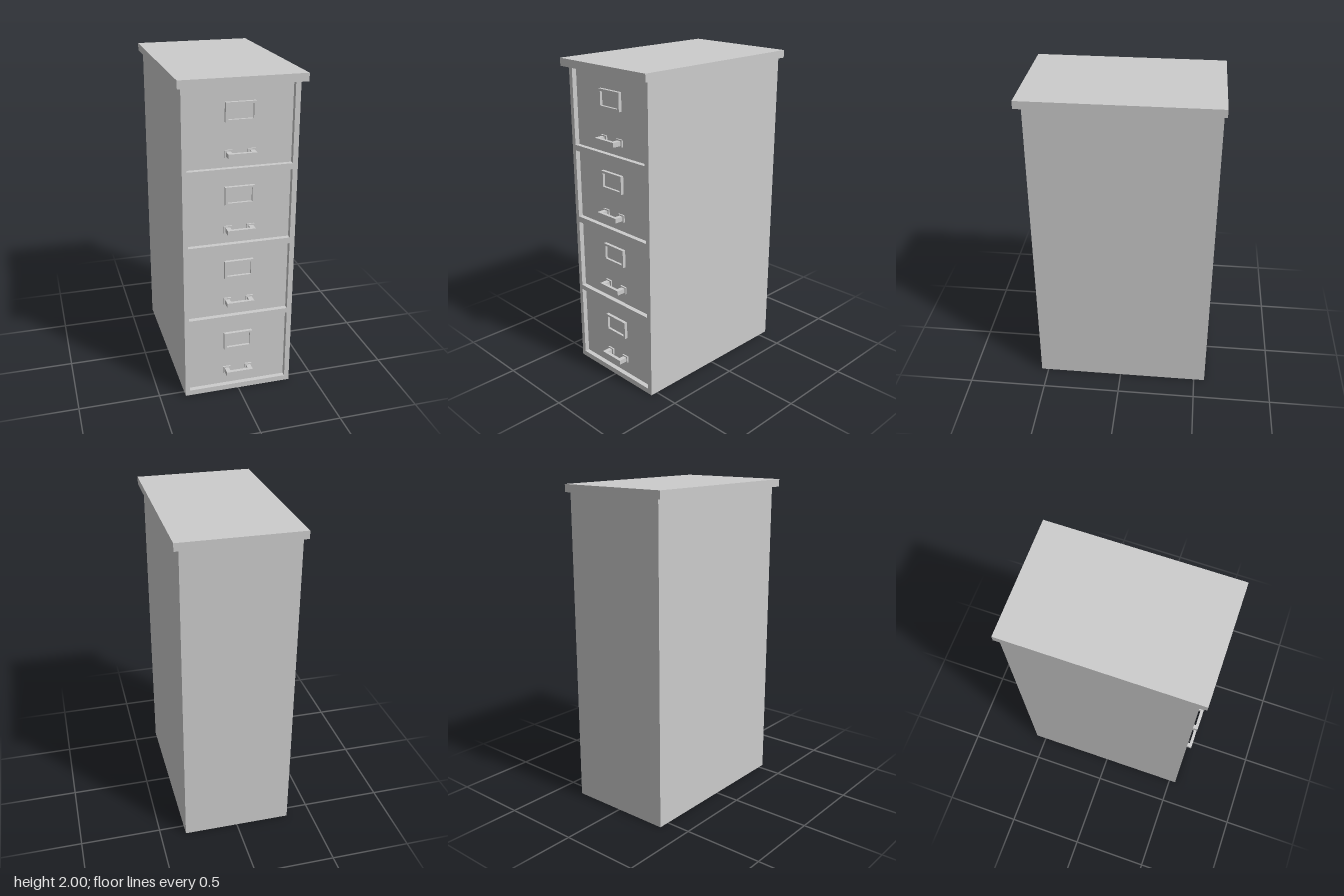
import * as THREE from 'three';

const material = new THREE.MeshStandardMaterial({ color: 0xcccccc, flatShading: true });
const FACE = 0.515;  // drawer front plane
const FRONT = 0.545; // cabinet front plane

// Box given by its min and max along each axis
function box(name, [x0, x1], [y0, y1], [z0, z1]) {
  const mesh = new THREE.Mesh(new THREE.BoxGeometry(x1 - x0, y1 - y0, z1 - z0), material);
  mesh.position.set((x0 + x1) / 2, (y0 + y1) / 2, (z0 + z1) / 2);
  mesh.name = name;
  return mesh;
}

function rectangle(target, x0, x1, y0, y1) {
  target.moveTo(x0, y0);
  target.lineTo(x1, y0);
  target.lineTo(x1, y1);
  target.lineTo(x0, y1);
  target.closePath();
  return target;
}

// Flat panel with rectangular openings, extruded from z0 to z1
function frame(name, outer, holes, z0, z1) {
  const shape = rectangle(new THREE.Shape(), ...outer);
  holes.forEach((h) => shape.holes.push(rectangle(new THREE.Path(), ...h)));
  const geometry = new THREE.ExtrudeGeometry(shape, { depth: z1 - z0, bevelEnabled: false });
  const mesh = new THREE.Mesh(geometry, material);
  mesh.position.z = z0;
  mesh.name = name;
  return mesh;
}

// Label holder: raised border around a sunken card
function createLabelHolder(y) {
  const group = new THREE.Group();
  group.name = 'labelHolder';
  group.add(
    frame('labelBorder', [-0.089, 0.089, -0.056, 0.056], [[-0.074, 0.074, -0.042, 0.042]], FACE, FACE + 0.02),
    box('labelCard', [-0.074, 0.074], [-0.042, 0.042], [FACE - 0.002, FACE + 0.004]),
  );
  group.position.y = y;
  return group;
}

// Pull handle: bar carried by a plate and post at each end
function createHandle(y) {
  const group = new THREE.Group();
  group.name = 'handle';
  group.add(box('handleBar', [-0.084, 0.084], [-0.014, 0.014], [0.558, 0.579]));
  for (const s of [-1, 1]) {
    const plate = box('handlePlate', [-0.024, 0.024], [-0.022, 0.022], [FACE, FACE + 0.01]);
    const post = box('handlePost', [-0.014, 0.014], [-0.014, 0.014], [FACE, 0.56]);
    plate.position.x = s * 0.069;
    post.position.x = s * 0.07;
    group.add(plate, post);
  }
  group.position.y = y;
  return group;
}

export function createModel() {
  const cabinet = new THREE.Group();
  cabinet.name = 'filingCabinet';

  const drawers = [
    { bottom: 0.034, top: 0.5, handle: 0.133, label: 0.344 },
    { bottom: 0.53, top: 0.973, handle: 0.622, label: 0.836 },
    { bottom: 1.01, top: 1.44, handle: 1.096, label: 1.305 },
    { bottom: 1.476, top: 1.952, handle: 1.557, label: 1.797 },
  ];

  // Carcass, front frame with drawer openings, and overhanging lid
  cabinet.add(
    box('carcass', [-0.342, 0.34], [0, 1.955], [-0.57, FACE]),
    frame('frontFrame', [-0.342, 0.34, 0, 1.955],
      drawers.map((d) => [-0.314, 0.309, d.bottom, d.top]), FACE, FRONT),
    box('lid', [-0.369, 0.369], [1.953, 2], [-0.586, 0.586]),
  );

  // Fittings on each recessed drawer front
  drawers.forEach((d, i) => {
    const drawer = new THREE.Group();
    drawer.name = `drawer${i + 1}`;
    drawer.add(createLabelHolder(d.label), createHandle(d.handle));
    cabinet.add(drawer);
  });

  return cabinet;
}
